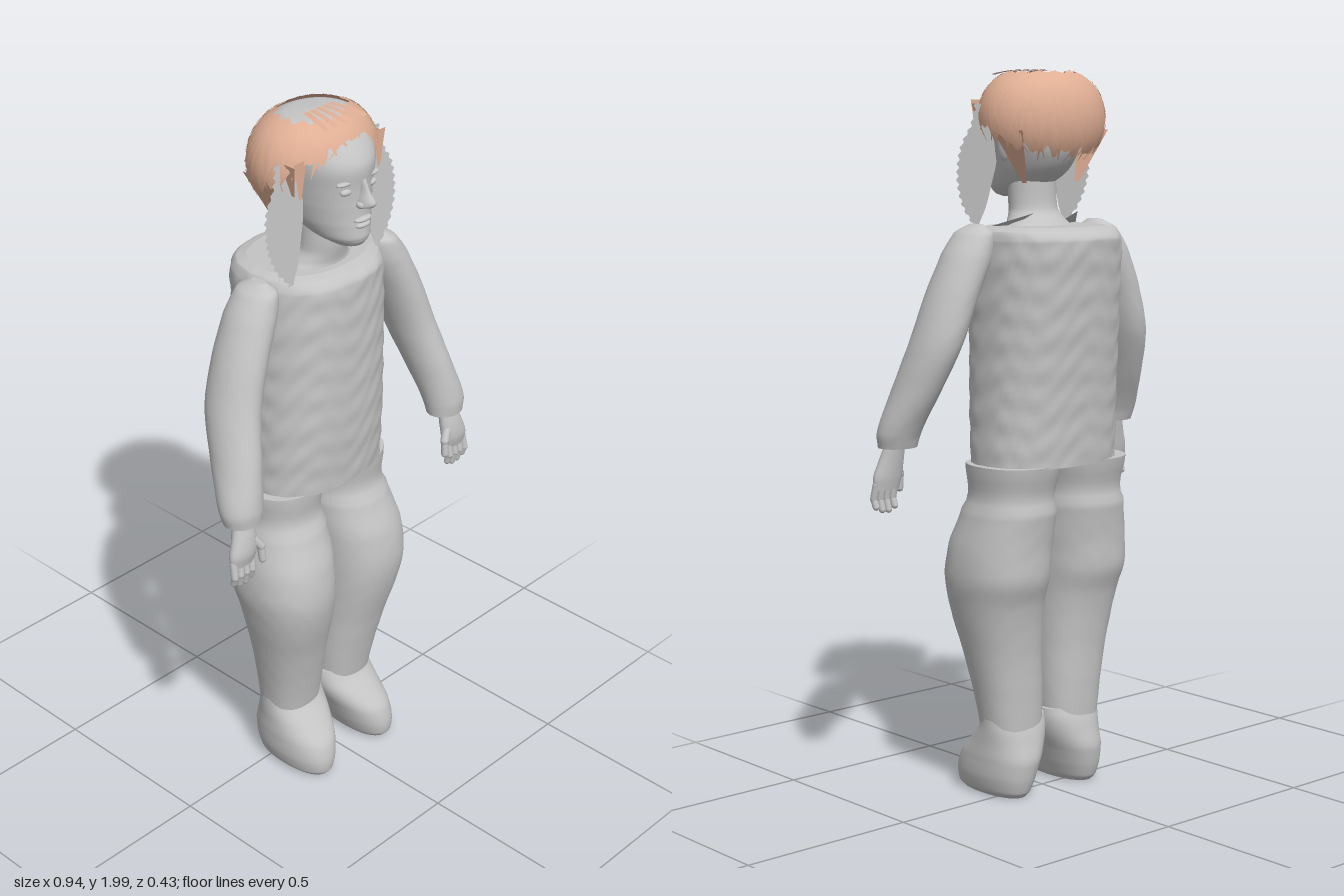
import * as THREE from 'three';
import { mergeGeometries } from 'three/addons/utils/BufferGeometryUtils.js';

const clay = new THREE.MeshStandardMaterial({ color: 0xc4c4c4, side: THREE.DoubleSide });
clay.name = 'light grey';
const tan = new THREE.MeshStandardMaterial({ color: 0xdfae94, side: THREE.DoubleSide });
tan.name = 'tan hair';

// Smooth closed loft through level rings [x, y, z, rx, rz], listed from bottom to top
function loft(rings, { power = 2, seg = 40, steps = 6, ripple = 0 } = {}) {
  const mid = new THREE.CatmullRomCurve3(rings.map(r => new THREE.Vector3(r[0], r[1], r[2])));
  const rad = new THREE.CatmullRomCurve3(rings.map(r => new THREE.Vector3(r[3], r[4], 0)));
  const n = (rings.length - 1) * steps, pos = [], idx = [];
  const ring = i => {
    const c = mid.getPoint(i / n), r = rad.getPoint(i / n);
    for (let j = 0; j < seg; j++) {
      const a = j / seg * Math.PI * 2, ca = Math.cos(a), sa = Math.sin(a);
      const k = 1 / Math.pow(Math.abs(ca) ** power + Math.abs(sa) ** power, 1 / power);
      const w = 1 + ripple * Math.sin(c.y * 75 + 3 * Math.sin(a * 5)) * Math.sin(a * 9 + c.y * 11);
      pos.push(c.x + r.x * ca * k * w, c.y, c.z + r.y * sa * k * w);
    }
    return c;
  };
  for (let i = 0; i <= n; i++) ring(i);
  for (let i = 0; i < n; i++) for (let j = 0; j < seg; j++) {
    const a = i * seg + j, b = i * seg + (j + 1) % seg;
    idx.push(a, a + seg, b, b, a + seg, b + seg);
  }
  // separate end caps keep the rims sharp
  for (const i of [0, n]) {
    const s = pos.length / 3, c = ring(i), m = s + seg;
    pos.push(c.x, c.y, c.z);
    for (let j = 0; j < seg; j++) {
      const a = s + j, b = s + (j + 1) % seg;
      if (i) idx.push(m, b, a); else idx.push(m, a, b);
    }
  }
  return buffer(pos, idx);
}

function buffer(pos, idx) {
  const g = new THREE.BufferGeometry();
  g.setAttribute('position', new THREE.Float32BufferAttribute(pos, 3));
  g.setIndex(idx);
  g.computeVertexNormals();
  return g;
}

// Open sheet from a rule f(u, v) -> [x, y, z]
function sheet(f, nu, nv) {
  const pos = [], idx = [];
  for (let i = 0; i <= nu; i++) for (let j = 0; j <= nv; j++) pos.push(...f(i / nu, j / nv));
  for (let i = 0; i < nu; i++) for (let j = 0; j < nv; j++) {
    const a = i * (nv + 1) + j, b = a + nv + 1;
    idx.push(a, a + 1, b, b, a + 1, b + 1);
  }
  return buffer(pos, idx);
}

const blob = (x, y, z, rx, ry, rz) =>
  new THREE.SphereGeometry(1, 20, 14).scale(rx, ry, rz).translate(x, y, z);

// Rounded finger between two points
function finger(x0, y0, z0, x1, y1, z1, r) {
  const a = new THREE.Vector3(x0, y0, z0), b = new THREE.Vector3(x1, y1, z1), d = b.clone().sub(a);
  const g = new THREE.CapsuleGeometry(r, d.length(), 5, 10);
  g.applyQuaternion(new THREE.Quaternion().setFromUnitVectors(new THREE.Vector3(0, 1, 0), d.normalize()));
  const m = a.add(b).multiplyScalar(0.5);
  return g.translate(m.x, m.y, m.z);
}

export function createModel() {
  const model = new THREE.Group();
  model.name = 'standingFigure';
  const add = (name, geo, mat = clay, parent = model) => {
    const m = new THREE.Mesh(geo, mat);
    m.name = name;
    parent.add(m);
    return m;
  };

  // Torso with slightly crumpled cloth
  add('torso', loft([
    [0.005, 0.93, -0.01, 0.215, 0.148], [0.005, 1.1, -0.01, 0.212, 0.16], [0.008, 1.3, -0.018, 0.208, 0.172],
    [0.01, 1.47, -0.026, 0.205, 0.18], [0.012, 1.54, -0.03, 0.2, 0.182], [0.012, 1.565, -0.03, 0.19, 0.165],
    [0.012, 1.575, -0.03, 0.165, 0.135]], { power: 2.4, seg: 72, steps: 12, ripple: 0.012 }));

  // Limbs, made for the left and mirrored
  for (const s of [1, -1]) {
    const side = new THREE.Group();
    side.name = s > 0 ? 'leftLimbs' : 'rightLimbs';
    side.scale.x = s;
    model.add(side);

    add('trouserLeg', loft([
      [0.105, 0.19, 0.012, 0.086, 0.076], [0.11, 0.28, 0.018, 0.094, 0.086], [0.122, 0.4, 0.028, 0.105, 0.102],
      [0.137, 0.54, 0.036, 0.122, 0.131], [0.142, 0.63, 0.026, 0.131, 0.148], [0.137, 0.71, 0.018, 0.13, 0.143],
      [0.126, 0.81, -0.006, 0.12, 0.13], [0.121, 0.935, -0.018, 0.12, 0.13]], { power: 2.3, ripple: 0.004 }), clay, side);

    add('shoe', loft([
      [0.125, 0, 0.06, 0.05, 0.115], [0.125, 0.015, 0.06, 0.064, 0.128], [0.122, 0.055, 0.055, 0.077, 0.135],
      [0.115, 0.1, 0.045, 0.085, 0.132], [0.104, 0.15, 0.028, 0.094, 0.105], [0.1, 0.19, 0.014, 0.097, 0.08],
      [0.1, 0.22, 0.01, 0.096, 0.064]], { power: 2.2 }), clay, side);

    add('sleeve', loft([
      [0.4, 0.99, 0.135, 0.056, 0.048], [0.4, 1.03, 0.128, 0.062, 0.057], [0.372, 1.15, 0.085, 0.061, 0.076],
      [0.34, 1.27, 0.045, 0.064, 0.083], [0.295, 1.4, 0.03, 0.066, 0.08], [0.25, 1.5, 0.023, 0.066, 0.074],
      [0.225, 1.56, 0.022, 0.046, 0.062], [0.217, 1.583, 0.022, 0.012, 0.025]], { seg: 32, ripple: 0.006 }), clay, side);

    const hand = new THREE.Group();
    hand.name = 'hand';
    side.add(hand);
    add('palm', loft([
      [0.424, 0.875, 0.155, 0.04, 0.016], [0.42, 0.91, 0.155, 0.046, 0.023], [0.412, 0.95, 0.15, 0.04, 0.024],
      [0.405, 1.0, 0.14, 0.03, 0.022]], { seg: 20 }), clay, hand);
    for (let i = 0; i < 4; i++) {
      const x = 0.394 + i * 0.021, tip = 0.815 + Math.abs(i - 1.4) * 0.009;
      add('finger', mergeGeometries([
        finger(x, 0.89, 0.156, x + 0.003, 0.85, 0.164, 0.0105),
        finger(x + 0.003, 0.85, 0.164, x + 0.001, tip, 0.157, 0.0095)]), clay, hand);
    }
    add('thumb', mergeGeometries([
      finger(0.392, 0.945, 0.156, 0.368, 0.91, 0.168, 0.0125),
      finger(0.368, 0.91, 0.168, 0.366, 0.87, 0.172, 0.0105)]), clay, hand);

    // Flat side lock with a ragged outer edge
    const lock = [[0.085, 0.19], [0.09, 0.2], [0.1, 0.23], [0.105, 0.239], [0.118, 0.234], [0.132, 0.212], [0.155, 0.172]];
    const inner = new THREE.SplineCurve(lock.map((p, i) => new THREE.Vector2(p[0], i)));
    const outer = new THREE.SplineCurve(lock.map((p, i) => new THREE.Vector2(p[1], i)));
    add('sideLock', sheet((u, v) => {
      const a = inner.getPoint(u).x, b = outer.getPoint(u).x + 0.005 * Math.sin(u * 95);
      return [a + (b - a) * v, 1.9 - 0.33 * u, 0.055 + 0.03 * u];
    }, 60, 4), clay, side);

    // Loose collar flap beside the neck
    add('collarFlap', sheet((u, v) => [0.08 + 0.085 * u, 1.565 + v * (0.045 - 0.04 * u), 0.045 - 0.1 * v * (1 - u)], 6, 4), clay, side);
  }

  // Head and neck
  const head = new THREE.Group();
  head.name = 'head';
  head.position.x = 0.006;
  model.add(head);
  add('neck', loft([
    [0, 1.56, 0.005, 0.12, 0.08], [0, 1.585, 0.015, 0.09, 0.07], [0, 1.62, 0.03, 0.07, 0.062],
    [0, 1.72, 0.035, 0.068, 0.062]]), clay, head);
  add('skull', loft([
    [0, 1.648, 0.135, 0.012, 0.014], [0, 1.656, 0.122, 0.038, 0.046], [0, 1.68, 0.088, 0.07, 0.093],
    [0, 1.72, 0.052, 0.092, 0.126], [0, 1.77, 0.033, 0.107, 0.142], [0, 1.82, 0.026, 0.118, 0.148],
    [0, 1.875, 0.02, 0.13, 0.155], [0, 1.93, 0.008, 0.14, 0.132], [0, 1.962, 0, 0.122, 0.105],
    [0, 1.978, 0, 0.085, 0.07], [0, 1.984, 0, 0.01, 0.01]], { seg: 48 }), clay, head);
  add('nose', loft([
    [0, 1.766, 0.172, 0.01, 0.012], [0, 1.773, 0.18, 0.021, 0.029], [0, 1.785, 0.182, 0.018, 0.034],
    [0, 1.81, 0.173, 0.01, 0.024], [0, 1.84, 0.17, 0.008, 0.012]], { seg: 20 }), clay, head);
  add('upperLip', blob(0, 1.732, 0.174, 0.03, 0.008, 0.014), clay, head);
  add('lowerLip', blob(0, 1.716, 0.172, 0.026, 0.009, 0.015), clay, head);
  add('chin', blob(0, 1.677, 0.155, 0.036, 0.022, 0.024), clay, head);
  for (const s of [1, -1]) {
    add('eyelid', blob(s * 0.045, 1.814, 0.157, 0.02, 0.01, 0.012), clay, head);
    add('brow', blob(s * 0.047, 1.838, 0.155, 0.03, 0.007, 0.013), clay, head);
    add('nostril', blob(s * 0.017, 1.776, 0.18, 0.009, 0.009, 0.014), clay, head);
    add('ear', blob(s * 0.113, 1.79, 0.02, 0.012, 0.042, 0.024), clay, head);
  }

  // Hair: a dome open at the crown, with a ragged hem and crossing strands
  const dome = (a, e, k = 1) => {
    const r = Math.pow(Math.cos(e), 0.7) * k;
    return [0.188 * r * Math.cos(a), 1.858 + 0.138 * Math.sin(e) * k, 0.002 + 0.15 * r * Math.sin(a)];
  };
  const hem = a => -0.25 + 0.6 * Math.sin(a) + 0.15 * Math.sin(a) ** 2;
  const ragged = a => hem(a) + 0.09 * Math.sin(a * 17) + 0.07 * Math.sin(a * 29 + 1);
  const top = a => 1.14 + 0.05 * Math.sin(a * 13);
  add('hairCap', sheet((u, v) => {
    const a = u * Math.PI * 2;
    return dome(a, ragged(a) + (top(a) - ragged(a)) * v);
  }, 120, 12), tan);

  const strands = [];
  for (let i = 0; i < 44; i++) {
    const a0 = i / 44 * Math.PI * 2, lean = (i % 2 ? 1 : -1) * (0.5 + 0.25 * Math.sin(i * 2.3));
    const low = hem(a0) - 0.16 - 0.1 * Math.sin(i * 1.7);
    strands.push(sheet((u, v) => {
      const taper = 0.012 + 0.075 * Math.sin(Math.PI * u);
      return dome(a0 + lean * u + (v - 0.5) * taper, low + (1.2 - low) * u, 1.012 + 0.012 * (i % 3) * u * (1 - u));
    }, 10, 1));
  }
  // strands across the crown and the hanging tails at temples and nape
  for (let i = 0; i < 5; i++) {
    const x = (i - 2) * 0.022;
    strands.push(sheet((u, v) => [x * (1 + 0.6 * u) + (v - 0.5) * 0.018, 1.99 - 0.012 * u * u, 0.02 + 0.1 * u], 5, 1));
  }
  for (const s of [1, -1]) {
    strands.push(sheet((u, v) => [s * (0.165 - 0.02 * u), 1.9 - 0.09 * u, 0.075 + (v - 0.5) * 0.05 * (1 - 0.8 * u)], 4, 2));
    strands.push(sheet((u, v) => [s * (0.155 - 0.06 * u), 1.83 - 0.14 * u, -0.035 + (v - 0.5) * 0.12 * (1 - 0.85 * u)], 5, 2));
    strands.push(sheet((u, v) => [s * (0.145 + (v - 0.5) * 0.045 * (1 - 0.8 * u)), 1.91 - 0.1 * u, 0.1], 4, 2));
  }
  add('hairStrands', mergeGeometries(strands), tan);

  return model;
}
